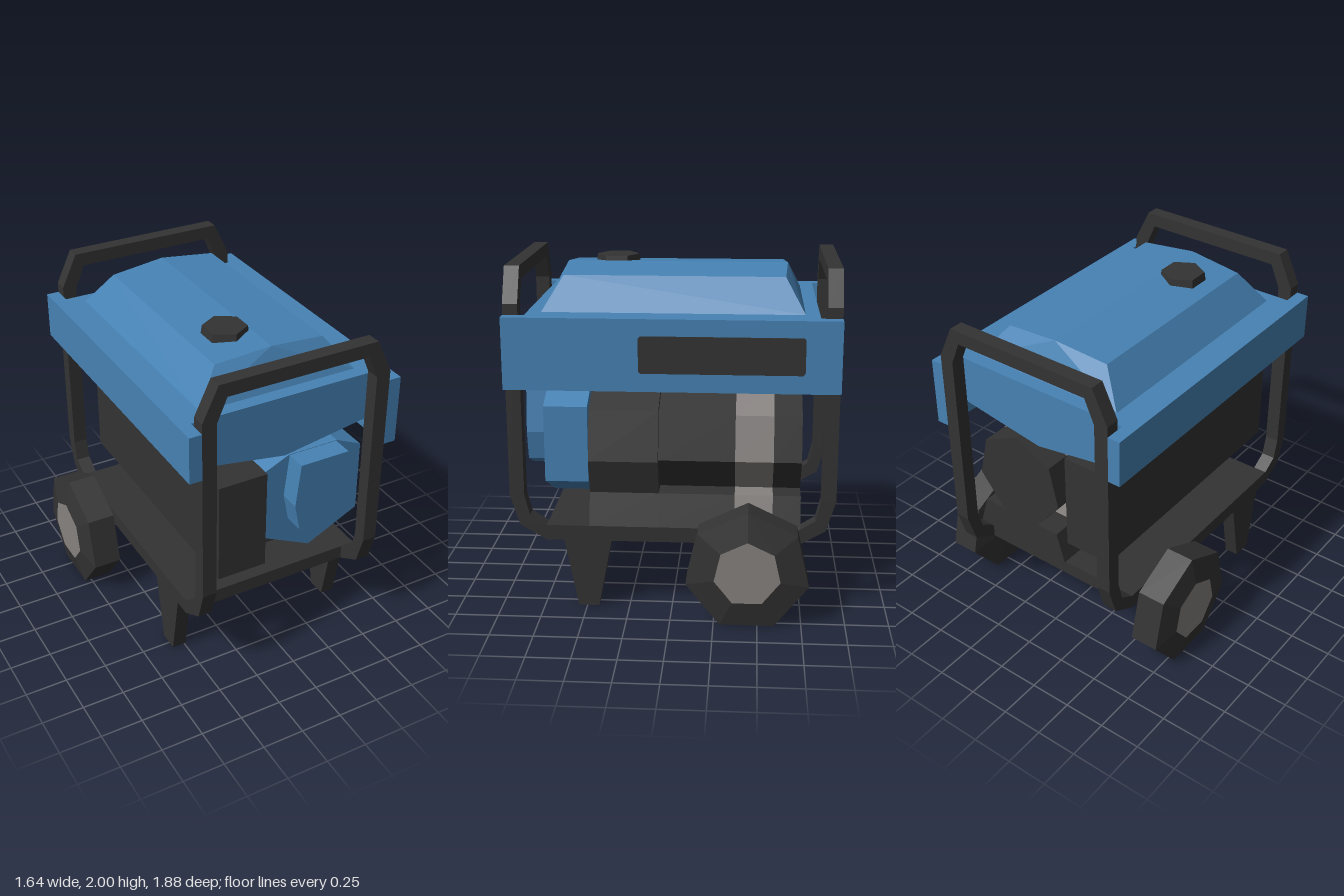
import * as THREE from 'three';
import { ConvexGeometry } from 'three/addons/geometries/ConvexGeometry.js';

const mat = (name, color) => {
  const m = new THREE.MeshStandardMaterial({ color });
  m.name = name;
  return m;
};

// Give every face its own flat normal
const flat = (g) => {
  const f = g.index ? g.toNonIndexed() : g;
  f.computeVertexNormals();
  return f;
};

const toShape = (pts) => new THREE.Shape(pts.map(([x, y]) => new THREE.Vector2(x, y)));

// Profile in x,y pushed from z0 to z1
const extrudeZ = (pts, z0, z1) => {
  const g = new THREE.ExtrudeGeometry(toShape(pts), { depth: z1 - z0, bevelEnabled: false });
  return g.translate(0, 0, z0);
};

// Profile in z,y pushed from x0 to x1
const extrudeX = (pts, x0, x1) => {
  const g = new THREE.ExtrudeGeometry(toShape(pts), { depth: x1 - x0, bevelEnabled: false });
  return g.rotateY(-Math.PI / 2).translate(x1, 0, 0);
};

const box = (x0, x1, y0, y1, z0, z1) =>
  new THREE.BoxGeometry(x1 - x0, y1 - y0, z1 - z0).translate((x0 + x1) / 2, (y0 + y1) / 2, (z0 + z1) / 2);

// Mirror the right half of a profile about x = cx, ordered counter-clockwise from the bottom
const mirrored = (half, cx) => [
  ...half.map(([x, y]) => [cx + x, y]),
  ...half.filter(([x]) => x > 0).reverse().map(([x, y]) => [cx - x, y]),
];

export function createModel() {
  const root = new THREE.Group();
  root.name = 'generator';
  const blue = mat('blue paint', 0x4682b4);
  const black = mat('black metal', 0x333333);
  const grey = mat('grey metal', 0x878280);

  const add = (name, geometry, material, parent = root) => {
    const m = new THREE.Mesh(geometry, material);
    m.name = name;
    parent.add(m);
    return m;
  };

  // Tank body with a shallow V underside, and its side skirts
  add('tankBody', extrudeZ(mirrored([[0, 1.365], [0.58, 1.46], [0.58, 1.74]], 0), -0.82, 0.82), blue);
  add('leftSkirt', box(0.575, 0.65, 1.33, 1.74, -0.94, 0.94), blue);
  add('rightSkirt', box(-0.65, -0.575, 1.46, 1.74, -0.94, 0.94), blue);

  // Raised tank top, ridged along the middle
  const dome = [];
  for (const sz of [-1, 1]) {
    for (const sx of [-1, 1]) {
      dome.push(new THREE.Vector3(sx * 0.48, 1.74, sz * 0.74));
      dome.push(new THREE.Vector3(sx * 0.335, 1.927, sz * 0.63));
    }
    dome.push(new THREE.Vector3(0, 1.96, sz * 0.648));
  }
  add('tankTop', new ConvexGeometry(dome), blue);
  add('fuelCap', flat(new THREE.CylinderGeometry(0.125, 0.135, 0.065, 6).translate(-0.125, 1.953, 0.365)), black);

  // Vent panel on the left skirt
  const c = 0.012;
  add('ventPanel', extrudeX([
    [-0.74 + c, 1.435], [0.18 - c, 1.435], [0.18, 1.435 + c], [0.18, 1.645 - c],
    [0.18 - c, 1.645], [-0.74 + c, 1.645], [-0.74, 1.645 - c], [-0.74, 1.435 + c],
  ], 0.649, 0.656), black);

  // Tubular frame: end hoops, bottom rails and floor
  const hoop = [
    [0.575, 0.68], [0.575, 1.8], [0.48, 2], [-0.48, 2], [-0.575, 1.8], [-0.575, 0.68],
    [-0.49, 0.68], [-0.49, 1.78], [-0.43, 1.92], [0.43, 1.92], [0.49, 1.78], [0.49, 0.68],
  ];
  add('frontHoop', extrudeZ(hoop, 0.855, 0.94), black);
  add('backHoop', extrudeZ(hoop, -0.94, -0.855), black);
  const rail = [
    [-0.94, 0.68], [-0.885, 0.5], [-0.73, 0.41], [0.73, 0.41], [0.885, 0.5], [0.94, 0.68],
    [0.855, 0.68], [0.825, 0.56], [0.73, 0.5], [-0.73, 0.5], [-0.825, 0.56], [-0.855, 0.68],
  ];
  const leg = [[0.43, 0], [0.55, 0], [0.63, 0.42], [0.35, 0.42]];
  for (const [side, x0] of [['left', 0.49], ['right', -0.575]]) {
    add(side + 'Rail', extrudeX(rail, x0, x0 + 0.085), black);
    add(side + 'FrontLeg', extrudeX(leg, x0, x0 + 0.085), black);
  }
  add('floorPlate', box(-0.495, 0.495, 0.412, 0.498, -0.73, 0.73), black);

  // Seven-sided wheels with a plain inner face and a grey hub outside
  const wheelProfile = [[0, -0.118], [0.193, -0.118], [0.358, -0.085], [0.358, 0.085], [0.193, 0.118]]
    .map(([r, y]) => new THREE.Vector2(r, y));
  const tyre = flat(new THREE.LatheGeometry(wheelProfile, 7, -Math.PI / 2).rotateZ(-Math.PI / 2));
  const hub = flat(new THREE.CircleGeometry(0.193, 7, Math.PI / 2).rotateY(Math.PI / 2).translate(0.118, 0, 0));
  for (const [side, s] of [['left', 1], ['right', -1]]) {
    const wheel = new THREE.Group();
    wheel.name = side + 'Wheel';
    wheel.position.set(s * 0.703, 0.322, -0.44);
    wheel.rotation.y = s > 0 ? 0 : Math.PI;
    add('tyre', tyre, black, wheel);
    add('hub', hub, grey, wheel);
    root.add(wheel);
  }

  // Control box
  add('controlBox', box(-0.43, -0.13, 0.69, 1.305, -0.76, 0.855), black);

  // Engine block, fan shroud and starter cover
  const ex = 0.245;
  add('engineBlock', extrudeZ(mirrored(
    [[0.33, 0.5], [0.275, 0.69], [0.332, 0.895], [0.266, 1.18], [0, 1.31]], ex), 0.08, 0.48), black);
  add('fanShroud', extrudeZ(mirrored(
    [[0, 0.61], [0.325, 0.77], [0.325, 1.215], [0.16, 1.29]], ex), 0.48, 0.73), blue);
  add('starterCover', extrudeZ(mirrored(
    [[0, 0.78], [0.15, 0.85], [0.185, 1.02], [0.155, 1.287]], ex), 0.73, 0.855), blue);

  // Alternator: seven-sided drum on a flared foot, with a grey band
  const drum = [];
  for (let i = 0; i < 7; i++) {
    const a = Math.PI / 2 + (i * 2 * Math.PI) / 7;
    drum.push([ex + 0.305 * Math.cos(a), 0.965 + 0.305 * Math.sin(a)]);
  }
  const foot = mirrored([[0.33, 0.5], [0.275, 0.69]], ex);
  for (const [name, z0, z1, m] of [
    ['alternatorFront', -0.36, 0.08, black],
    ['alternatorBand', -0.58, -0.36, grey],
    ['alternatorBack', -0.74, -0.58, black],
  ]) {
    add(name, extrudeZ(drum, z0, z1), m);
    add(name + 'Foot', extrudeZ(foot, z0, z1), m);
  }

  return root;
}
